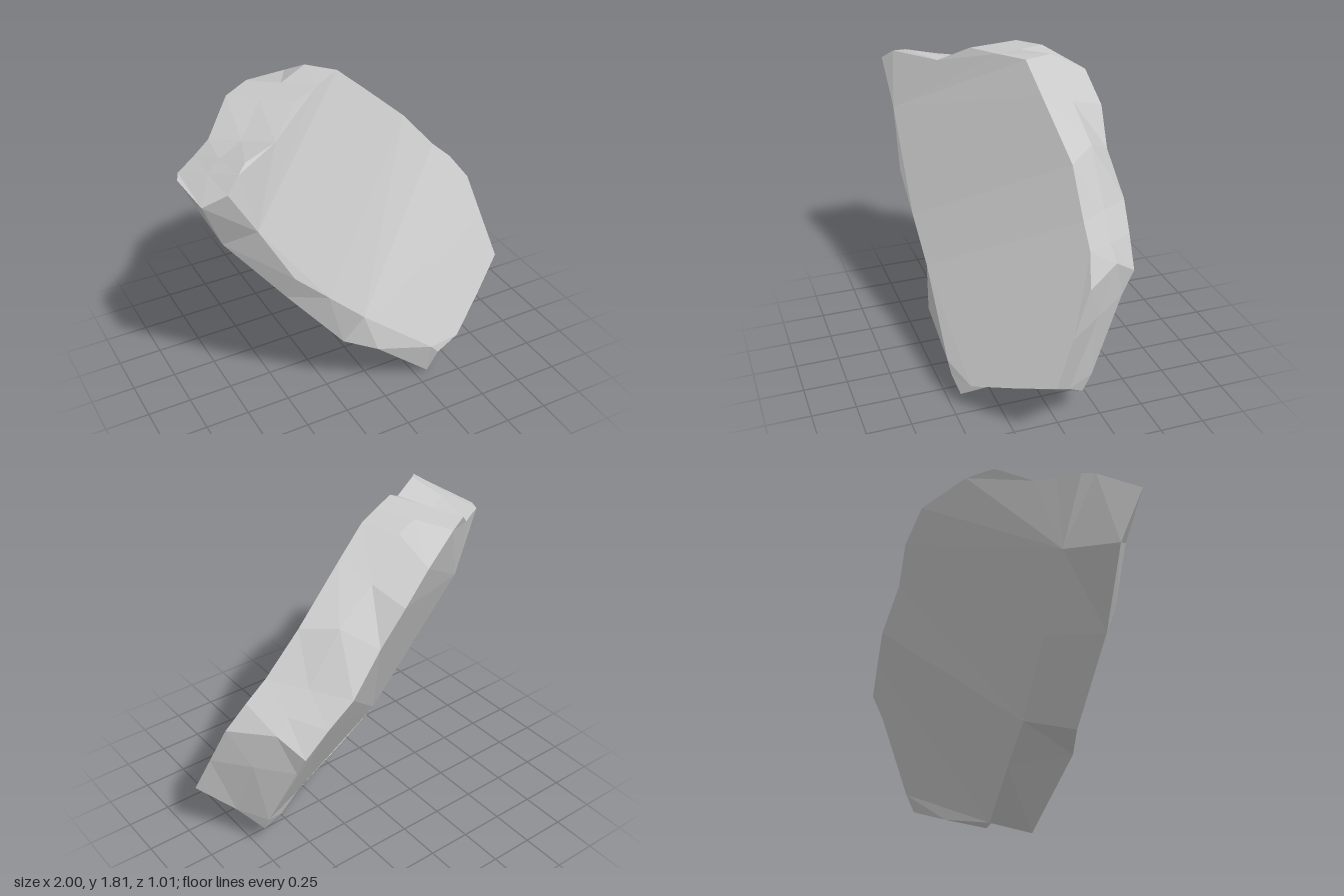
import * as THREE from 'three';

// Three matching outlines, clockwise seen from the front, starting at the upper left tip.
const front = [
  [-0.88, 1.61, 0.5], [-0.8, 1.67, 0.45], [-0.74, 1.69, 0.39], [-0.52, 1.68, 0.26],
  [-0.35, 1.79, 0.12], [-0.17, 1.8, 0.02], [0, 1.81, -0.08], [0.17, 1.66, -0.11],
  [0.47, 1.39, -0.165], [0.67, 1.16, -0.15], [0.79, 1.05, -0.14], [0.9, 0.9, -0.1],
  [0.95, 0.66, 0.005], [1, 0.42, 0.11], [0.77, 0.305, 0.265], [0.53, 0.19, 0.42],
  [0.36, 0.17, 0.48], [0.31, 0.23, 0.485], [-0.13, 0.6, 0.47], [-0.35, 0.82, 0.485],
  [-0.55, 1.02, 0.5], [-0.73, 1.35, 0.48],
];
const back = [
  [-1, 1.54, 0.15], [-0.97, 1.54, 0.08], [-0.85, 1.565, 0], [-0.74, 1.59, -0.08],
  [-0.57, 1.73, -0.23], [-0.41, 1.74, -0.33], [-0.12, 1.675, -0.475], [0.05, 1.52, -0.505],
  [0.19, 1.32, -0.485], [0.38, 1.1, -0.51], [0.52, 0.96, -0.485], [0.65, 0.81, -0.46],
  [0.66, 0.68, -0.39], [0.73, 0.26, -0.2], [0.73, 0.16, -0.15], [0.54, 0.08, -0.03],
  [0.36, 0.005, 0.15], [0.3, 0.02, 0.14], [0, 0.25, 0.11], [-0.23, 0.43, 0.094],
  [-0.52, 0.8, 0.075], [-0.8, 1.17, 0.05],
];
// Chipped ridge around the edge; stations not listed lie halfway between front and back.
const ridge = {
  0: [-0.99, 1.54, 0.44], 6: [-0.1, 1.79, -0.26], 8: [0.33, 1.42, -0.33],
  11: [0.73, 0.92, -0.32], 13: [0.83, 0.27, -0.03], 16: [0.43, 0.09, 0.24],
  17: [0.33, 0, 0.42], 18: [-0.05, 0.36, 0.49], 19: [-0.23, 0.435, 0.42],
  20: [-0.57, 0.87, 0.43], 21: [-0.87, 1.25, 0.36],
};
const middle = front.map((f, i) => ridge[i] || f.map((v, k) => (v + back[i][k]) / 2));

// Flat shaded mesh from a list of corner triples
function facetMesh(name, triangles, material) {
  const geometry = new THREE.BufferGeometry();
  geometry.setAttribute('position', new THREE.Float32BufferAttribute(triangles.flat(2), 3));
  geometry.computeVertexNormals();
  const mesh = new THREE.Mesh(geometry, material);
  mesh.name = name;
  return mesh;
}

// Facets joining two neighbouring outlines
function band(a, b) {
  return a.flatMap((p, i) => {
    const j = (i + 1) % a.length;
    return [[p, a[j], b[j]], [p, b[j], b[i]]];
  });
}

// Broad face cut into panels along creases; facing is +1 for front, -1 for back
function face(outline, panels, facing) {
  return panels.flatMap((panel) => {
    const pts = panel.map((i) => outline[i]);
    const flat = pts.map(([x, y]) => new THREE.Vector2(x, y));
    return THREE.ShapeUtils.triangulateShape(flat, []).map((t) => {
      const area = THREE.ShapeUtils.area(t.map((i) => flat[i]));
      const tri = t.map((i) => pts[i]);
      return area * facing < 0 ? tri.reverse() : tri;
    });
  });
}

const range = (from, to) => Array.from({ length: to - from + 1 }, (_, i) => from + i);

// Three panels divided by two creases across the slab
function panels(edgeStart, edgeEnd) {
  return [
    [21, ...range(0, 6)],
    [...range(6, edgeStart), ...range(edgeEnd, 21)],
    range(edgeStart, edgeEnd),
  ];
}

export function createModel() {
  const group = new THREE.Group();
  group.name = 'rockSlab';
  const stone = new THREE.MeshStandardMaterial({ color: 0xcccccc, flatShading: true });
  group.add(
    facetMesh('frontFace', face(front, panels(8, 18), 1), stone),
    facetMesh('frontChippedEdge', band(front, middle), stone),
    facetMesh('backChippedEdge', band(middle, back), stone),
    facetMesh('backFace', face(back, panels(9, 19), -1), stone),
  );
  return group;
}
